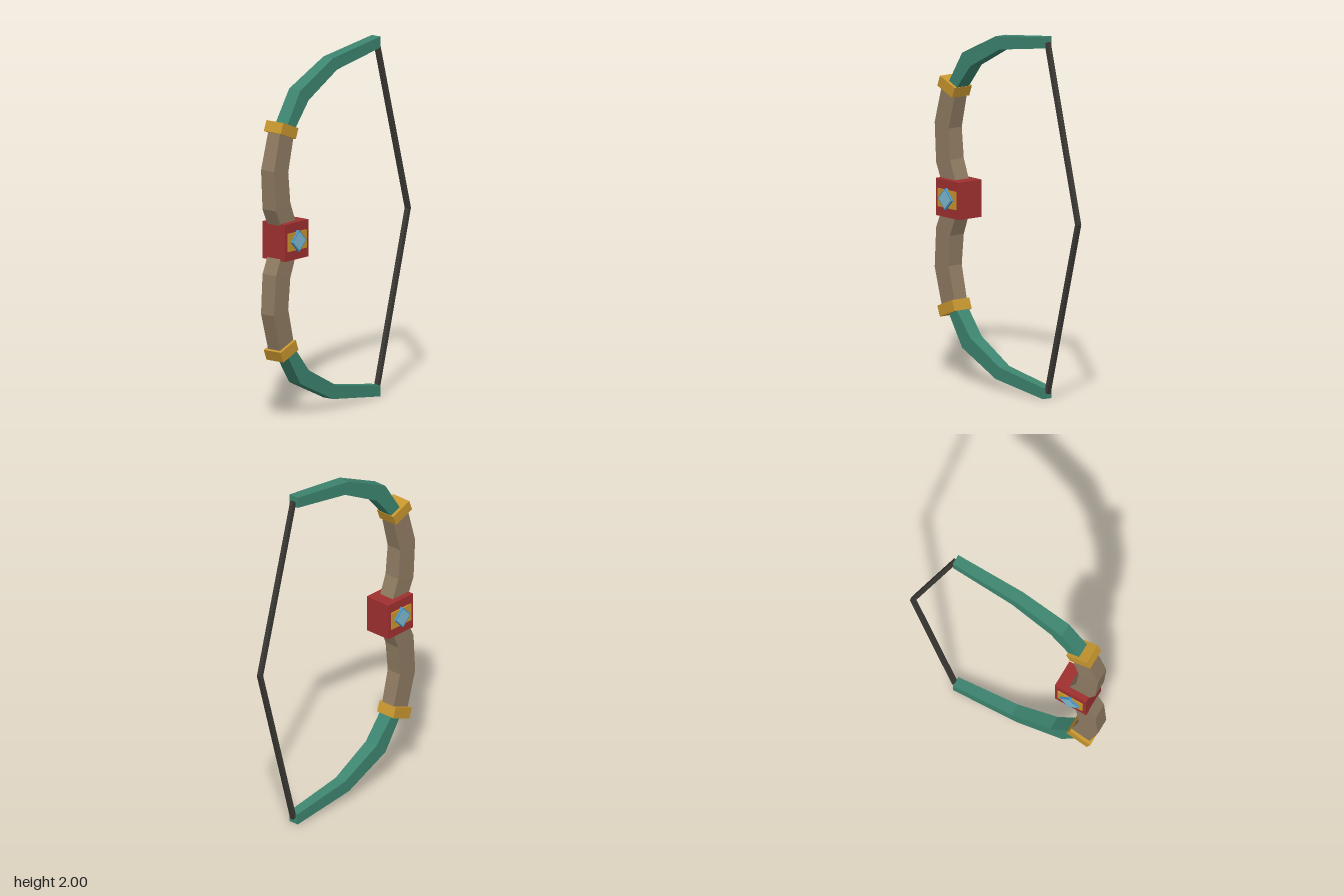
import * as THREE from 'three';

const mat = (name, color) => {
  const m = new THREE.MeshStandardMaterial({ color });
  m.name = name;
  return m;
};

// Lofts a four-sided bar through rows of [leftX, leftY, rightX, rightY, halfDepth].
// Rows run upward from y = 1; side = -1 mirrors the bar to the lower half.
function bar(rows, side) {
  const rings = rows.map(([ax, ay, bx, by, d]) => {
    const a = 1 + side * (ay - 1), b = 1 + side * (by - 1);
    return [[ax, a, d], [bx, b, d], [bx, b, -d], [ax, a, -d]];
  });
  const pos = [];
  const quad = (a, b, c, d) => {
    const q = side > 0 ? [a, b, c, a, c, d] : [a, c, b, a, d, c];
    q.forEach((p) => pos.push(...p));
  };
  for (let i = 0; i < rings.length - 1; i++) {
    for (let j = 0; j < 4; j++) {
      const k = (j + 1) % 4;
      quad(rings[i][j], rings[i][k], rings[i + 1][k], rings[i + 1][j]);
    }
  }
  const s = rings[0], e = rings[rings.length - 1];
  quad(s[3], s[2], s[1], s[0]);
  quad(e[0], e[1], e[2], e[3]);
  const g = new THREE.BufferGeometry();
  g.setAttribute('position', new THREE.Float32BufferAttribute(pos, 3));
  g.computeVertexNormals();
  return g;
}

export function createModel() {
  const wood = mat('wood', 0x8f7b62);
  const green = mat('green limb', 0x3d8570);
  const gold = mat('gold', 0xc8962f);
  const red = mat('red grip', 0xa03030);
  const blue = mat('blue gem', 0x4a94c8);
  const pale = mat('pale gem face', 0x7ebad2);
  const dark = mat('dark string', 0x3c3a35);

  const bow = new THREE.Group();
  bow.name = 'bow';
  const add = (name, geometry, material, x = 0, y = 0, z = 0, rz = 0) => {
    const m = new THREE.Mesh(geometry, material);
    m.name = name;
    m.position.set(x, y, z);
    m.rotation.z = rz;
    bow.add(m);
  };

  const riser = [
    [-0.505, 1.0, -0.38, 1.0, 0.046],
    [-0.585, 1.18, -0.465, 1.21, 0.048],
    [-0.6, 1.4, -0.48, 1.38, 0.046],
    [-0.54, 1.62, -0.425, 1.59, 0.042],
  ];
  const limb = [
    [-0.515, 1.59, -0.435, 1.59, 0.043],
    [-0.37, 1.815, -0.3, 1.75, 0.04],
    [-0.087, 1.947, -0.055, 1.878, 0.035],
    [0.317, 2.0, 0.317, 1.938, 0.03],
  ];
  const string = [
    [0.572, 1.0, 0.597, 1.0, 0.012],
    [0.308, 1.965, 0.332, 1.972, 0.012],
  ];

  // Upper and lower halves
  for (const side of [1, -1]) {
    const half = side > 0 ? 'upper' : 'lower';
    add(half + 'Riser', bar(riser, side), wood);
    add(half + 'Limb', bar(limb, side), green);
    add(half + 'String', bar(string, side), dark);
    add(half + 'Cuff', new THREE.BoxGeometry(0.137, 0.062, 0.12), gold,
      -0.485, 1 + side * 0.612, 0, -side * 0.37);
  }

  // Grip block
  add('grip', new THREE.BoxGeometry(0.196, 0.206, 0.16), red, -0.448, 1.0, 0);

  // Gold plate and diamond gem on front and back
  for (const side of [1, -1]) {
    const face = side > 0 ? 'front' : 'back';
    add(face + 'Plate', new THREE.BoxGeometry(0.155, 0.1, 0.009), gold, -0.448, 1.0, side * 0.0825);
    add(face + 'Gem', new THREE.BoxGeometry(0.085, 0.085, 0.02), blue,
      -0.448, 1.0, side * 0.089, Math.PI / 4);
    add(face + 'GemFace', new THREE.BoxGeometry(0.072, 0.072, 0.003), pale,
      -0.448, 1.0, side * 0.099, Math.PI / 4);
  }
  return bow;
}
